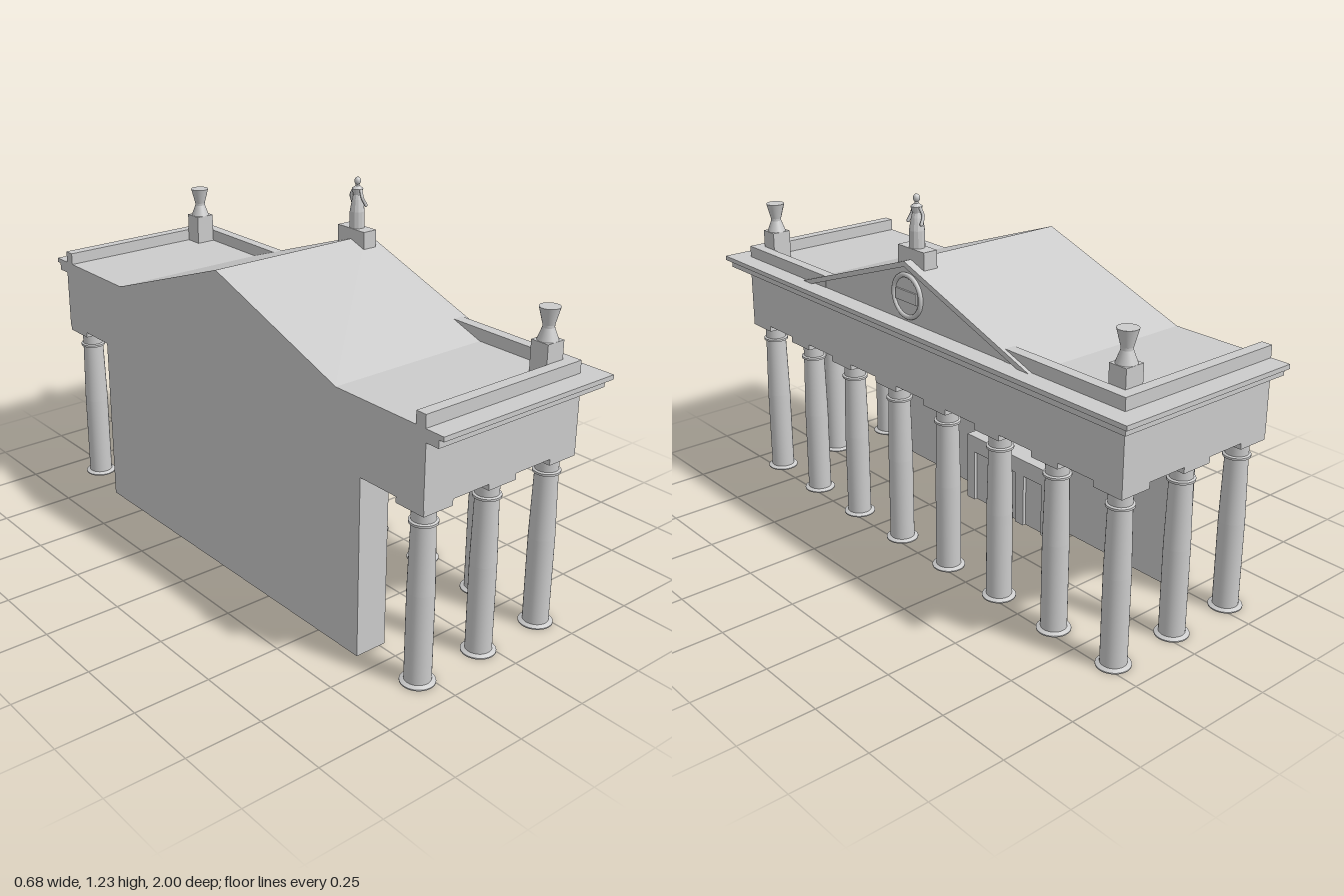
import * as THREE from 'three';

const mat = new THREE.MeshStandardMaterial({ color: 0xcccccc });
const flat = new THREE.MeshStandardMaterial({ color: 0xcccccc, flatShading: true });
const V = (x, y) => new THREE.Vector2(x, y);

export function createModel() {
  const model = new THREE.Group();

  function add(name, geo, parent = model, material = mat) {
    const m = new THREE.Mesh(geo, material);
    m.name = name;
    parent.add(m);
    return m;
  }
  // Box given by its min and max corners
  function box(name, x0, x1, y0, y1, z0, z1, parent = model) {
    const m = add(name, new THREE.BoxGeometry(x1 - x0, y1 - y0, z1 - z0), parent);
    m.position.set((x0 + x1) / 2, (y0 + y1) / 2, (z0 + z1) / 2);
    return m;
  }
  // Outline in (z, y) extruded along x
  function slab(name, pts, x0, x1, holes = []) {
    const s = new THREE.Shape(pts.map(p => V(...p)));
    holes.forEach(h => s.holes.push(new THREE.Path(h.map(p => V(...p)))));
    const g = new THREE.ExtrudeGeometry(s, { depth: x1 - x0, bevelEnabled: false });
    g.rotateY(Math.PI / 2);
    g.translate(x0, 0, 0);
    return add(name, g);
  }
  // Lathe whose profile is split into segments, so edges between them stay sharp
  function turned(name, pts, parent, segments = 32) {
    const g = new THREE.Group();
    g.name = name;
    for (let i = 0; i < pts.length - 1; i++) {
      add(name + 'Band', new THREE.LatheGeometry([V(...pts[i]), V(...pts[i + 1])], segments), g);
    }
    parent.add(g);
    return g;
  }

  const back = -0.34;

  // Rear wall and entrance porch with three shallow doorways
  box('rearWall', back, -0.23, 0, 0.6, -0.68, 0.68);
  box('entranceCore', -0.23, -0.162, 0, 0.25, -0.215, 0.215);
  const face = [[-0.215, 0], [-0.215, 0.25], [0.215, 0.25], [0.215, 0]];
  for (const z of [0.13, 0, -0.13]) {
    face.push([z + 0.045, 0], [z + 0.045, 0.19], [z - 0.045, 0.19], [z - 0.045, 0]);
  }
  slab('entranceFace', face, -0.162, -0.15);

  // Entablature and stepped cornice
  box('entablature', back, 0.273, 0.59, 0.79, -0.935, 0.935);
  box('lowerCornice', back, 0.322, 0.79, 0.815, -0.982, 0.982);
  box('upperCornice', back, 0.337, 0.815, 0.83, -1, 1);

  // Columns: a front row and two more along each side
  function column(x, z) {
    const g = new THREE.Group();
    g.name = 'column';
    turned('shaft', [[0, 0], [0.054, 0], [0.054, 0.004], [0.041, 0.01], [0.041, 0.3],
      [0.036, 0.515], [0.043, 0.517], [0.043, 0.524], [0.036, 0.527], [0.036, 0.572]], g);
    box('abacus', -0.055, 0.055, 0.57, 0.592, -0.055, 0.055, g);
    g.position.set(x, 0, z);
    model.add(g);
  }
  const step = 0.2514, zEnd = 3.5 * step;
  for (let i = 0; i < 8; i++) column(0.218, (i - 3.5) * step);
  for (const s of [-1, 1]) for (const x of [-0.283, -0.034]) column(x, s * zEnd);

  // Gabled roof with a raised rim on the pediment
  slab('gableRoof', [[-0.57, 0.83], [0.57, 0.83], [0, 1.03]], back, 0.27);
  slab('pedimentRim', [[-0.57, 0.83], [-0.52, 0.83], [0, 1.012], [0.52, 0.83],
    [0.57, 0.83], [0, 1.03]], 0.27, 0.285);

  // Round medallion on the pediment
  const medallion = new THREE.Group();
  medallion.name = 'medallion';
  medallion.position.set(0.27, 0.915, 0);
  const ring = add('medallionRing', new THREE.TorusGeometry(0.068, 0.008, 10, 40), medallion);
  ring.rotation.y = Math.PI / 2;
  ring.position.x = 0.004;
  const disc = add('medallionDisc', new THREE.CylinderGeometry(0.066, 0.066, 0.008, 40), medallion);
  disc.rotation.z = Math.PI / 2;
  box('medallionPlate', 0, 0.01, -0.018, 0.018, -0.052, 0.052, medallion);
  model.add(medallion);

  // Parapets and corner urns
  for (const s of [-1, 1]) {
    const side = s > 0 ? [0.895, 0.932] : [-0.932, -0.895];
    const front = s > 0 ? [0.455, 0.895] : [-0.895, -0.455];
    box('sideParapet', back, 0.272, 0.83, 0.87, ...side);
    box('frontParapet', 0.235, 0.272, 0.83, 0.87, ...front);

    const urn = new THREE.Group();
    urn.name = 'urn';
    urn.position.set(0.2, 0, s * 0.863);
    box('urnBase', -0.034, 0.034, 0.83, 0.93, -0.032, 0.032, urn);
    turned('urnBody', [[0.032, 0.93], [0.018, 0.968], [0.018, 0.976], [0.032, 1.03], [0, 1.03]], urn);
    model.add(urn);
  }

  // Robed figure on a pedestal at the gable peak
  box('pedestal', 0.205, 0.257, 0.99, 1.065, -0.065, 0.065);
  const statue = new THREE.Group();
  statue.name = 'statue';
  statue.position.set(0.231, 0, 0);
  const robe = [[0.025, 1.065], [0.025, 1.12], [0.018, 1.16], [0.014, 1.175], [0.019, 1.195], [0.007, 1.204], [0.006, 1.212]];
  add('robe', new THREE.LatheGeometry(robe.map(p => V(...p)), 12), statue, flat);
  const head = add('head', new THREE.SphereGeometry(0.011, 12, 8), statue);
  head.position.y = 1.22;
  head.scale.y = 1.2;
  for (const s of [-1, 1]) {
    const path = new THREE.CatmullRomCurve3([
      new THREE.Vector3(0, 1.193, s * 0.016), new THREE.Vector3(-0.003, 1.168, s * 0.028),
      new THREE.Vector3(0.008, 1.145, s * 0.033)]);
    add('arm', new THREE.TubeGeometry(path, 6, 0.0055, 6), statue);
    const hand = add('hand', new THREE.SphereGeometry(0.006, 8, 6), statue);
    hand.position.set(0.008, 1.144, s * 0.033);
  }
  model.add(statue);

  return model;
}
